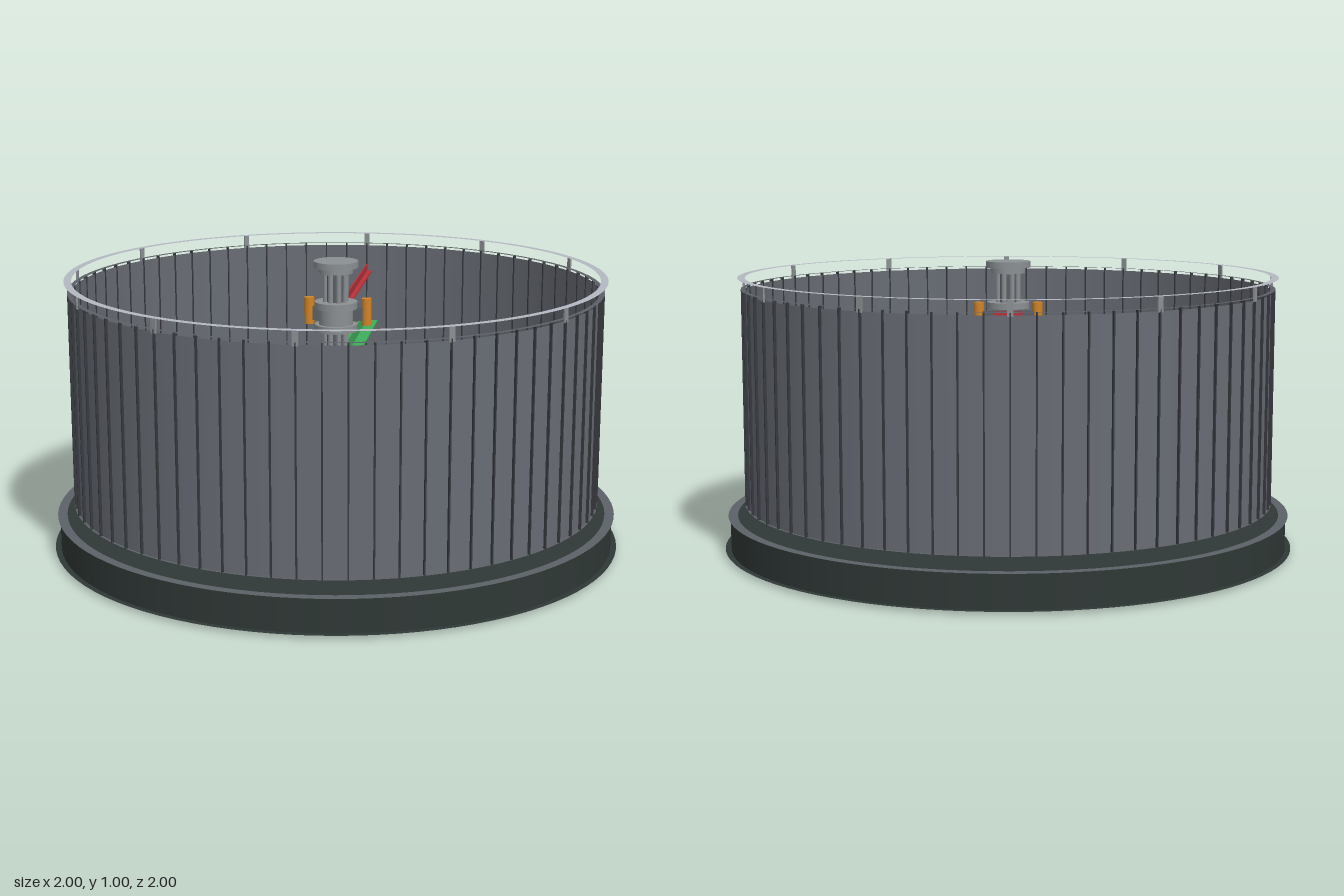
import * as THREE from 'three';

const mat = (name, color, side = THREE.FrontSide) => {
  const m = new THREE.MeshStandardMaterial({ color, side });
  m.name = name;
  return m;
};

export function createModel() {
  const model = new THREE.Group();
  model.name = 'drumTank';
  const D = THREE.DoubleSide;
  const slate = mat('slate wall', 0x686c74, D);
  const dark = mat('dark base', 0x2f3836, D);
  const seam = mat('dark seam', 0x36393e, D);
  const rimGrey = mat('rim grey', 0x5c6167, D);
  const light = mat('light rail', 0xb4b8c1, D);
  const steel = mat('steel', 0x8b9093);
  const orange = mat('orange', 0xd08428, D);
  const green = mat('green', 0x3fae5c, D);
  const red = mat('red', 0xb8323a, D);

  const add = (name, geo, material, x = 0, y = 0, z = 0, parent = model) => {
    const m = new THREE.Mesh(geo, material);
    m.name = name;
    m.position.set(x, y, z);
    parent.add(m);
    return m;
  };
  // Vertical cylinder between two heights
  const cyl = (name, r, y0, y1, material, x = 0, z = 0, parent = model, seg = 32) =>
    add(name, new THREE.CylinderGeometry(r, r, y1 - y0, seg), material, x, (y0 + y1) / 2, z, parent);
  // Thin horizontal ring
  const ring = (name, r0, r1, y, material) =>
    add(name, new THREE.RingGeometry(r0, r1, 96).rotateX(-Math.PI / 2), material, 0, y, 0);
  // Copies of a part around the axis
  const around = (name, n, geo, material, r, y) => {
    const g = new THREE.Group();
    g.name = name;
    for (let i = 0; i < n; i++) {
      const a = (i / n) * Math.PI * 2;
      add(name + 'Part', geo, material, Math.sin(a) * r, y, Math.cos(a) * r, g).rotation.y = a;
    }
    model.add(g);
  };

  // Base disc with flat lips and small feet
  cyl('base', 0.98, 0.01, 0.124, dark, 0, 0, model, 96);
  ring('baseLowerLip', 0.97, 1.0, 0.01, dark);
  ring('baseUpperLip', 0.955, 0.988, 0.126, rimGrey);
  around('foot', 12, new THREE.CylinderGeometry(0.01, 0.01, 0.012, 10), steel, 0.927, 0.006);

  // Open drum wall with narrow seams
  add('drumWall', new THREE.CylinderGeometry(0.92, 0.92, 0.743, 72, 1, true), slate, 0, 0.5365, 0);
  around('wallSeam', 72, new THREE.BoxGeometry(0.005, 0.752, 0.012), seam, 0.923, 0.541);
  ring('drumTopRing', 0.912, 0.929, 0.917, rimGrey);
  ring('drumBottomRing', 0.912, 0.929, 0.165, rimGrey);

  // Guard rail, its posts and the radial bars low in the drum
  ring('guardRail', 0.914, 0.94, 0.956, light);
  around('railPost', 12, new THREE.BoxGeometry(0.02, 0.05, 0.006), steel, 0.926, 0.93);
  around('radialBar', 12, new THREE.BoxGeometry(0.014, 0.006, 0.1), light, 0.865, 0.172);

  // Central shaft: flange, fluted column, stepped cap
  const shaft = new THREE.Group();
  shaft.name = 'shaft';
  model.add(shaft);
  cyl('flange', 0.12, 0.14, 0.168, steel, 0, 0, shaft, 48);
  cyl('column', 0.035, 0.165, 0.97, rimGrey, 0, 0, shaft);
  for (let i = 0; i < 8; i++) {
    const a = ((i + 0.5) / 8) * Math.PI * 2;
    cyl('flute', 0.009, 0.165, 0.97, steel, Math.cos(a) * 0.037, Math.sin(a) * 0.037, shaft, 10);
  }
  cyl('capStep', 0.06, 0.963, 0.985, steel, 0, 0, shaft, 48);
  cyl('cap', 0.078, 0.983, 1.005, steel, 0, 0, shaft, 48);

  // Three arms: each a collar, a clamp with two pins, and a blade shaped like an upturned T
  const arms = [
    { name: 'redArm', m: red, half: 0.02, plate: 0.805, fin: 0.028, y: 0.81 },
    { name: 'greenArm', m: green, half: 0.045, plate: 0.605, fin: 0.048, y: 0.605 },
    { name: 'orangeArm', m: orange, half: 0.09, plate: 0.405, fin: 0.08, y: 0.4 },
  ];
  for (const { name, m, half, plate, fin, y } of arms) {
    const g = new THREE.Group();
    g.name = name;
    model.add(g);
    cyl('collar', 0.06, y - 0.05, y + 0.05, steel, 0, 0, g);
    for (const s of [-1, 1]) {
      cyl('collarLip', 0.075, y + s * 0.04 - 0.012, y + s * 0.04 + 0.012, steel, 0, 0, g);
      add('lug', new THREE.BoxGeometry(0.06, 0.05, 0.025), rimGrey, s * 0.08, y, -0.05, g);
      cyl('pin', 0.018, y - 0.04, y + 0.055, orange, s * 0.102, -0.05, g, 16);
    }
    add('clampBlock', new THREE.BoxGeometry(0.14, 0.06, 0.05), rimGrey, 0, y, -0.07, g);
    add('mountPlate', new THREE.BoxGeometry(0.1, 0.055, 0.008), m, 0, y, -0.099, g);
    add('blade', new THREE.BoxGeometry(half * 2, 0.006, 0.81), m, 0, plate, -0.508, g);
    add('bladeFin', new THREE.BoxGeometry(0.006, fin, 0.81), m, 0, plate + fin / 2, -0.508, g);
  }
  return model;
}
